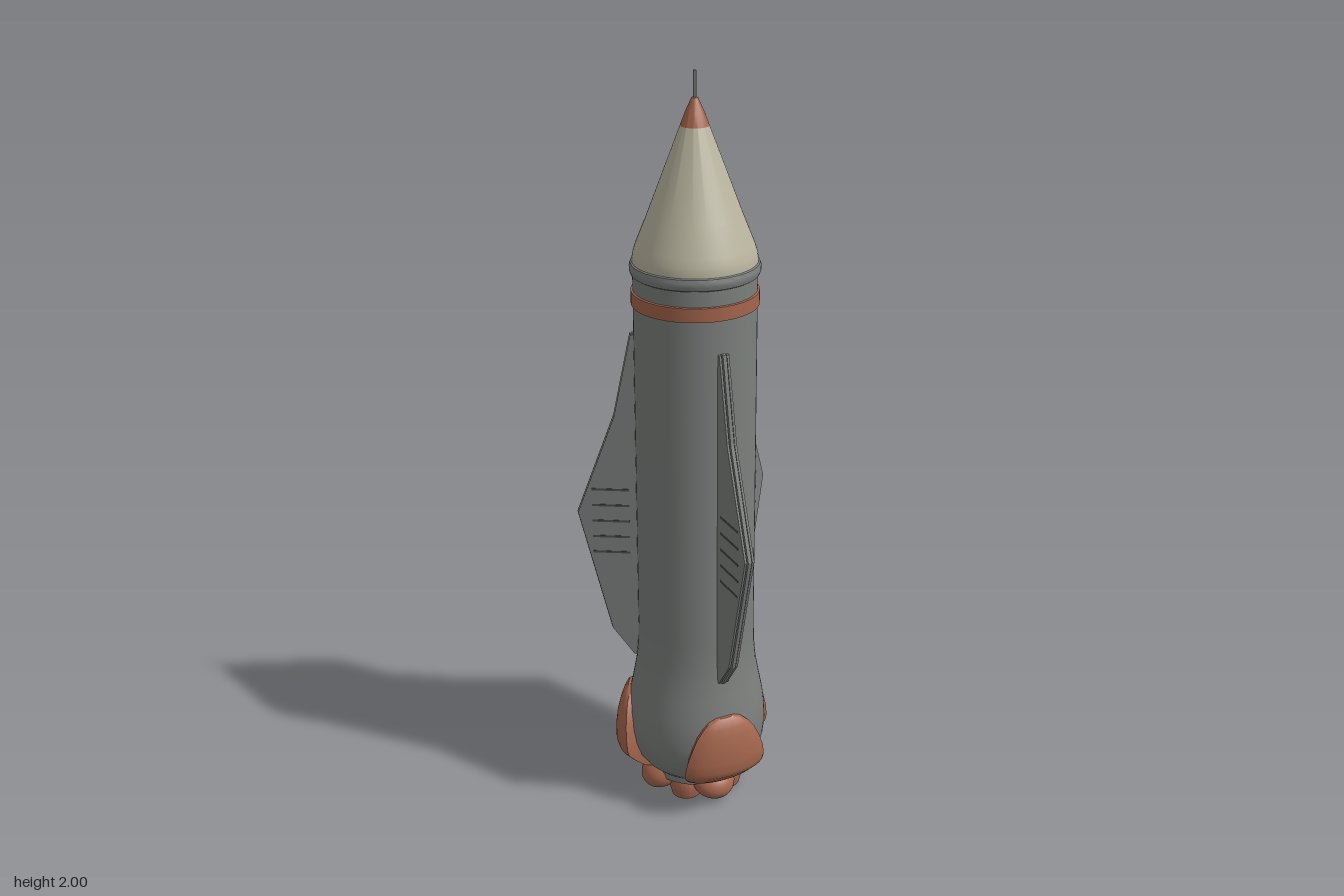
import * as THREE from 'three';
import { toCreasedNormals } from 'three/addons/utils/BufferGeometryUtils.js';

const mat = (name, color, side = THREE.FrontSide) => {
  const m = new THREE.MeshStandardMaterial({ color, side });
  m.name = name;
  return m;
};

export function createModel() {
  const hull = mat('hull grey', 0x7c807d);
  const dark = mat('seam grey', 0x4a4c4a);
  const copper = mat('copper', 0xa5664d);
  const copperShell = copper;
  const cream = mat('cream', 0xb9b59f);

  const rocket = new THREE.Group();
  rocket.name = 'rocket';
  rocket.position.z = -0.0625;

  const add = (name, geometry, material, parent = rocket) => {
    const mesh = new THREE.Mesh(geometry, material);
    mesh.name = name;
    parent.add(mesh);
    return mesh;
  };
  // Turned part from [radius, y] pairs, listed from bottom to top
  const turned = (name, points, material, parent) => add(name, toCreasedNormals(
    new THREE.LatheGeometry(points.map(([r, y]) => new THREE.Vector2(r, y)), 64), 0.5), material, parent);

  // Body with flared tail
  turned('hull', [
    [0, 0.075], [0.13, 0.075], [0.152, 0.095], [0.173, 0.125], [0.187, 0.165], [0.191, 0.205],
    [0.189, 0.25], [0.183, 0.295], [0.173, 0.345], [0.164, 0.395], [0.159, 0.45], [0.157, 0.52],
    [0.157, 1.51], [0, 1.51],
  ], hull);
  turned('stripeBand', [[0.155, 1.42], [0.162, 1.422], [0.162, 1.458], [0.155, 1.46]], copper);
  turned('collarRing', [
    [0.155, 1.498], [0.162, 1.502], [0.165, 1.51], [0.165, 1.522], [0.162, 1.53], [0.155, 1.534],
  ], hull);

  // Nose
  turned('noseCone', [
    [0.158, 1.525], [0.158, 1.54], [0.155, 1.556], [0.148, 1.578], [0.12, 1.647], [0.036, 1.868],
  ], cream);
  turned('noseTip', [[0.036, 1.868], [0.024, 1.9], [0.008, 1.935], [0, 1.938]], copper);
  const antenna = add('antenna', new THREE.CylinderGeometry(0.004, 0.004, 0.08, 12), hull);
  antenna.position.y = 1.96;

  // Fin outline as [radius, y]
  const finOutline = [
    [0.14, 0.40], [0.172, 0.40], [0.23, 0.48], [0.316, 0.83], [0.214, 1.11], [0.168, 1.335], [0.14, 1.335],
  ];
  const plate = (thickness, inset) => {
    const pts = finOutline.map(([r, y]) => new THREE.Vector2(
      r > 0.15 ? r - inset : r, 0.83 + (y - 0.83) * (1 - inset)));
    const g = new THREE.ExtrudeGeometry(new THREE.Shape(pts), { depth: thickness, bevelEnabled: false });
    g.translate(0, 0, -thickness / 2);
    g.rotateY(-Math.PI / 2); // radius runs along +z
    return g;
  };
  const finCore = plate(0.010, 0);
  const finLayer = plate(0.006, 0.003);
  const seam = new THREE.BoxGeometry(0.0015, 0.006, 0.1);

  // Curved shield: rows of [y, outer radius, half angle in degrees], top to bottom
  const shieldRows = [
    [0.303, 0.180, 1], [0.302, 0.189, 8], [0.292, 0.197, 15], [0.275, 0.205, 20], [0.25, 0.213, 25],
    [0.215, 0.221, 29], [0.18, 0.225, 32], [0.15, 0.225, 33.5], [0.135, 0.221, 34],
    [0.11, 0.197, 34], [0.09, 0.172, 34], [0.08, 0.145, 34],
  ];
  const shieldGeometry = () => {
    const n = 20, pos = [], idx = [];
    shieldRows.forEach(([y, r, half]) => {
      for (let j = 0; j <= n; j++) {
        // First and last columns fold inward to form the rim
        const k = Math.min(1, Math.max(-1, (j - n / 2) / (n / 2 - 1)));
        const a = THREE.MathUtils.degToRad(half * k);
        const rr = j === 0 || j === n ? 0.14 : r - 0.008 * Math.pow(Math.abs(k), 6);
        pos.push(Math.sin(a) * rr, y, Math.cos(a) * rr);
      }
    });
    for (let i = 0; i < shieldRows.length - 1; i++) {
      for (let j = 0; j < n; j++) {
        const a = i * (n + 1) + j, c = a + n + 1;
        idx.push(a, c, a + 1, a + 1, c, c + 1);
      }
    }
    const g = new THREE.BufferGeometry();
    g.setAttribute('position', new THREE.Float32BufferAttribute(pos, 3));
    g.setIndex(idx);
    return toCreasedNormals(g, 0.6);
  };
  const shield = shieldGeometry();

  // Three fins, each above a shield
  for (let i = 0; i < 3; i++) {
    const unit = new THREE.Group();
    unit.name = 'finAndShield';
    unit.rotation.y = i * Math.PI * 2 / 3;
    rocket.add(unit);
    add('finCore', finCore, hull, unit);
    for (const s of [-1, 1]) {
      add('finLayer', finLayer, hull, unit).position.x = s * 0.0105;
      for (let k = 0; k < 5; k++) {
        add('finSeam', seam, dark, unit).position.set(s * 0.0138, 0.715 + k * 0.046, 0.225);
      }
    }
    add('shield', shield, copperShell, unit);
  }

  // Engine cluster: four outer bulbs, four bells between them and one in the middle
  const bulb = new THREE.SphereGeometry(1, 32, 20);
  const bell = [[0, 0.004], [0.03, 0.004], [0.034, 0], [0.04, 0.004], [0.047, 0.03], [0.044, 0.055], [0.03, 0.085]];
  for (let i = 0; i < 4; i++) {
    const engine = new THREE.Group();
    engine.name = 'engine';
    engine.rotation.y = i * Math.PI / 2;
    rocket.add(engine);
    const b = add('engineBulb', bulb, copper, engine);
    b.scale.set(0.06, 0.043, 0.06);
    b.position.set(0, 0.057, 0.108);
    b.rotation.x = 0.5;
    turned('engineBell', bell, copper, engine).position.set(0.06, 0, 0.06);
  }
  turned('centreBell', bell, copper);
  turned('engineRing', [[0.125, 0.06], [0.134, 0.06], [0.134, 0.08], [0.125, 0.08]], hull);
  turned('enginePlate', [[0, 0.06], [0.13, 0.06]], hull);

  const model = new THREE.Group();
  model.name = 'model';
  model.add(rocket);
  return model;
}
